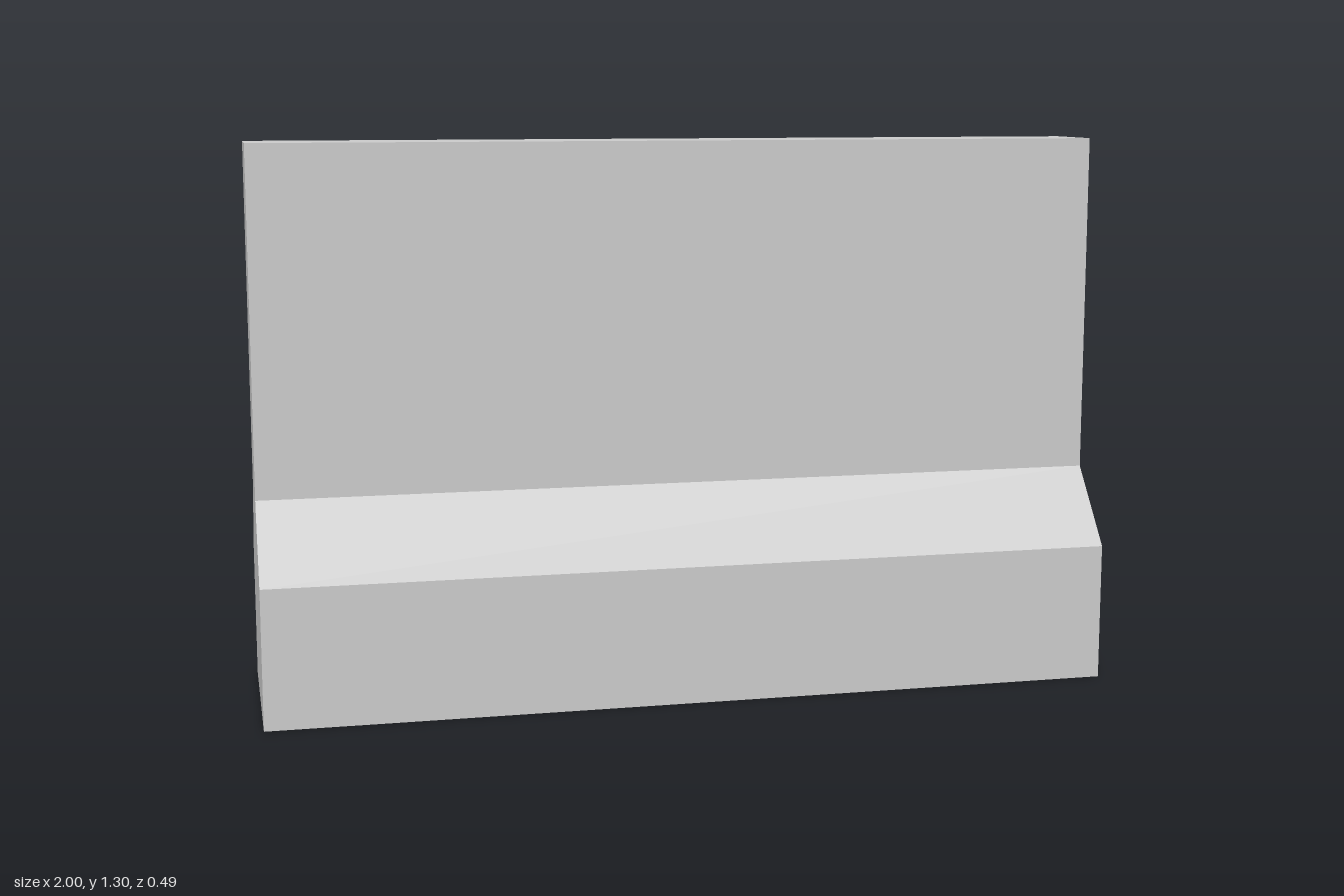
import * as THREE from 'three';

export function createModel() {
  const group = new THREE.Group();
  group.name = 'roadBarrier';

  // Half of the symmetric cross-section: [half depth, height]
  const half = [[0.243, 0], [0.243, 0.325], [0.098, 0.497], [0.098, 1.3]];
  const mirrored = half.map(([d, y]) => [-d, y]).reverse();
  const profile = new THREE.Shape([...half, ...mirrored].map(([d, y]) => new THREE.Vector2(d, y)));

  // Solid barrier: wide foot, sloped shoulders and thin upright wall
  const length = 2;
  const geometry = new THREE.ExtrudeGeometry(profile, { depth: length, bevelEnabled: false });
  geometry.translate(0, 0, -length / 2);
  geometry.rotateY(Math.PI / 2);

  const barrier = new THREE.Mesh(
    geometry,
    new THREE.MeshStandardMaterial({ color: 0xcccccc, flatShading: true })
  );
  barrier.name = 'barrierBody';
  group.add(barrier);
  return group;
}
